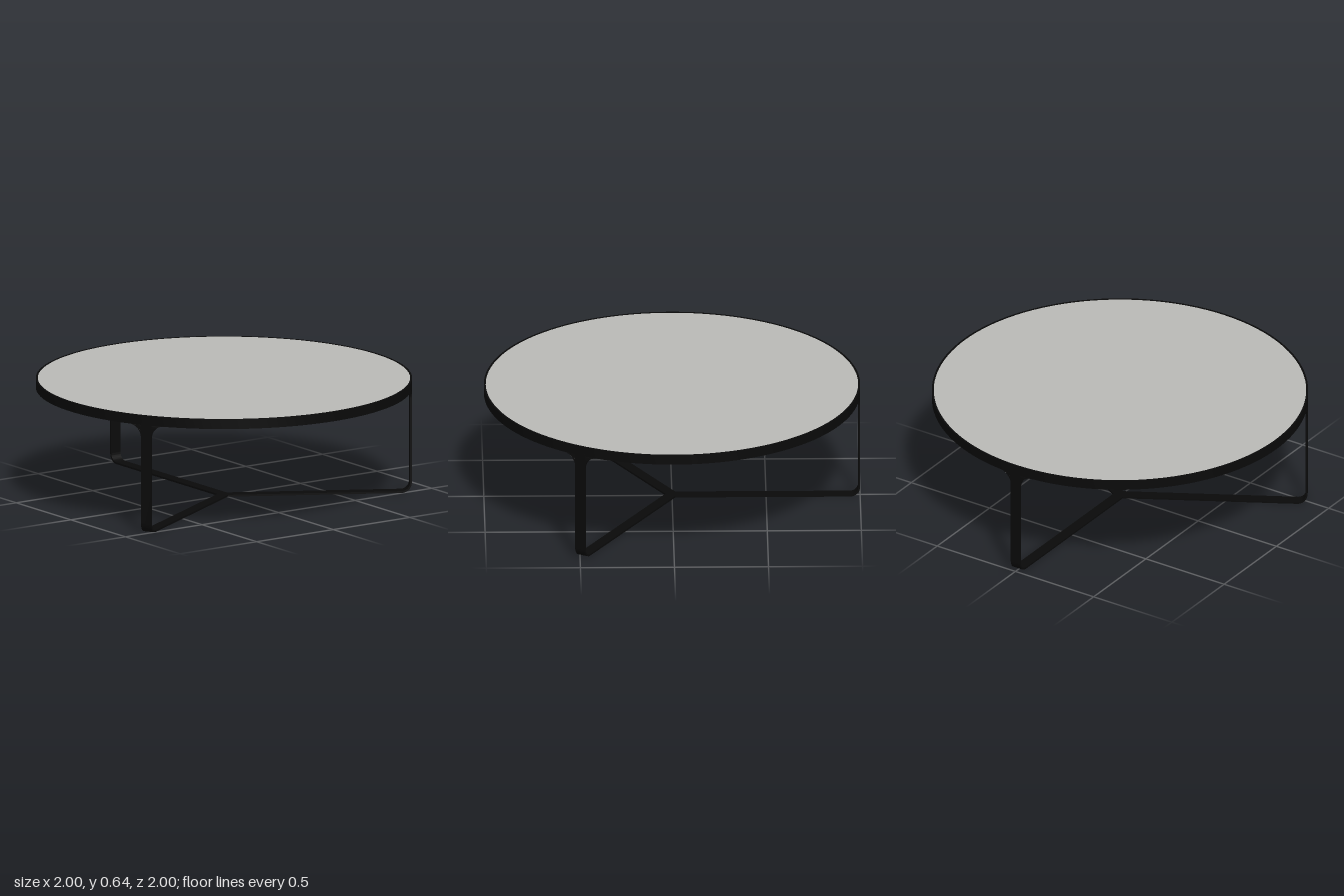
import * as THREE from 'three';
import { toCreasedNormals } from 'three/addons/utils/BufferGeometryUtils.js';

const R = 1, T = 0.01;            // table radius, steel thickness
const RIM_LOW = 0.59, TOP = 0.643; // rim band heights
const HALF = 0.03;                // half width of the flat steel bar

// Flat bar running out along the floor, then bending up to the rim
function legGeometry() {
  const bend = 0.055;
  const s = new THREE.Shape();
  s.moveTo(0, 0);
  s.lineTo(R - bend, 0);
  s.absarc(R - bend, bend, bend, -Math.PI / 2, 0, false);
  s.lineTo(R, RIM_LOW + 0.01);
  s.lineTo(R - T, RIM_LOW + 0.01);
  s.lineTo(R - T, bend);
  s.absarc(R - bend, bend, bend - T, 0, -Math.PI / 2, true);
  s.lineTo(0, T);
  s.closePath();
  const g = new THREE.ExtrudeGeometry(s, { depth: HALF * 2, bevelEnabled: false, curveSegments: 12 });
  g.translate(0, 0, -HALF);
  return toCreasedNormals(g, 0.5);
}

// Filleted flare joining the leg to the rim, bent to follow the rim
function flareGeometry() {
  const r = 0.07, y = RIM_LOW - r, x = HALF + r;
  const s = new THREE.Shape();
  s.moveTo(-HALF, y);
  s.lineTo(HALF, y);
  s.absarc(x, y, r, Math.PI, Math.PI / 2, true);
  s.lineTo(x, RIM_LOW + 0.005);
  s.lineTo(-x, RIM_LOW + 0.005);
  s.lineTo(-x, RIM_LOW);
  s.absarc(-x, y, r, Math.PI / 2, 0, true);
  const g = new THREE.ExtrudeGeometry(s, { depth: T, bevelEnabled: false, curveSegments: 10 });
  const p = g.attributes.position;
  for (let i = 0; i < p.count; i++) {
    const px = p.getX(i);
    p.setZ(i, p.getZ(i) + Math.sqrt(R * R - px * px) - T);
  }
  g.rotateY(Math.PI / 2);
  return toCreasedNormals(g, 0.5);
}

export function createModel() {
  const steel = new THREE.MeshStandardMaterial({ color: 0x0a0a0a });
  steel.name = 'blackSteel';
  const stone = new THREE.MeshStandardMaterial({ color: 0xbcbcb9 });
  stone.name = 'greyTop';

  const table = new THREE.Group();
  table.name = 'roundTable';
  const add = (parent, geometry, material, name) => {
    const mesh = new THREE.Mesh(geometry, material);
    mesh.name = name;
    parent.add(mesh);
    return mesh;
  };

  // Rim band with a narrow supporting lip underneath
  const profile = [
    [R - 0.02, RIM_LOW], [R, RIM_LOW], [R, TOP], [R - T, TOP],
    [R - T, RIM_LOW + T], [R - 0.02, RIM_LOW + T], [R - 0.02, RIM_LOW],
  ].map(([x, y]) => new THREE.Vector2(x, y));
  add(table, toCreasedNormals(new THREE.LatheGeometry(profile, 128), 0.5), steel, 'rim');

  // Round top resting inside the rim
  const low = RIM_LOW + T, high = TOP - 0.002;
  const top = add(table, new THREE.CylinderGeometry(R - T, R - T, high - low, 128), stone, 'tableTop');
  top.position.y = (low + high) / 2;

  // Three legs meeting at the centre of the floor
  const legGeo = legGeometry(), flareGeo = flareGeometry();
  [['backLeg', 90], ['frontLeftLeg', -30], ['frontRightLeg', 210]].forEach(([name, degrees]) => {
    const leg = new THREE.Group();
    leg.name = name;
    add(leg, legGeo, steel, 'bar');
    add(leg, flareGeo, steel, 'flare');
    leg.rotation.y = THREE.MathUtils.degToRad(degrees);
    table.add(leg);
  });

  return table;
}
